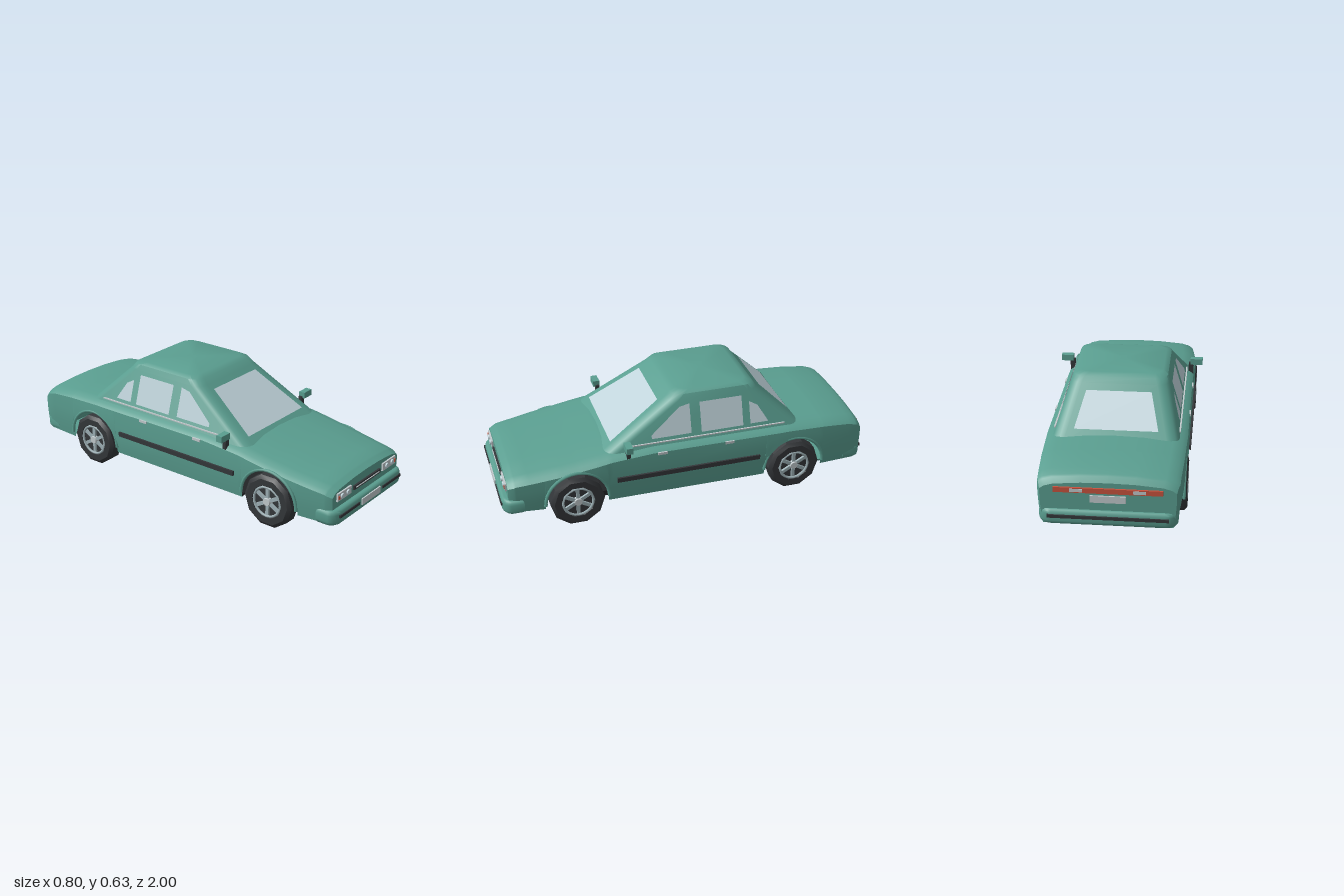
import * as THREE from 'three';
import { toCreasedNormals } from 'three/addons/utils/BufferGeometryUtils.js';

const mat = (name, color, side = THREE.FrontSide) => {
  const m = new THREE.MeshStandardMaterial({ color, side });
  m.name = name;
  return m;
};

// Piecewise linear lookup in [[key, value], ...] with rising keys
function lookup(table, k) {
  for (let i = 1; i < table.length; i++) {
    const [a, va] = table[i - 1], [b, vb] = table[i];
    if (k <= b) return va + (vb - va) * Math.max(0, (k - a) / (b - a));
  }
  return table[table.length - 1][1];
}

// Skin a list of equal-length rings of [x, y, z]
function loft(rings, closed, crease) {
  const n = rings[0].length, index = [];
  for (let i = 0; i < rings.length - 1; i++) {
    for (let j = 0; j < (closed ? n : n - 1); j++) {
      const a = i * n + j, b = i * n + (j + 1) % n;
      index.push(a, a + n, b, b, a + n, b + n);
    }
  }
  const g = new THREE.BufferGeometry();
  g.setAttribute('position', new THREE.Float32BufferAttribute(rings.flat(2), 3));
  g.setIndex(index);
  return toCreasedNormals(g, crease);
}

const AXLES = [0.61, -0.58], HUB = 0.143, ARCH = 0.165;
const TOP = [[-0.975, 0.335], [-0.955, 0.36], [-0.9, 0.378], [-0.75, 0.392], [-0.55, 0.4], [0.2, 0.4],
  [0.42, 0.385], [0.6, 0.357], [0.8, 0.328], [0.92, 0.312], [0.96, 0.296]];
const WIDTH = [[-0.975, 0.325], [-0.94, 0.34], [-0.75, 0.352], [-0.5, 0.36], [0, 0.357], [0.5, 0.357],
  [0.7, 0.35], [0.85, 0.335], [0.93, 0.325], [0.96, 0.31]];

// Half section of the lower body, from sill or arch edge up to the centre line
function bodySection(z) {
  let low = 0.11;
  for (const c of AXLES) {
    const d = Math.abs(z - c);
    if (d < ARCH) low = HUB + Math.sqrt(ARCH * ARCH - d * d);
  }
  const W = lookup(WIDTH, z), top = lookup(TOP, z), shoulder = top - 0.042;
  const half = [0, 0.35, 0.7, 1].map(t => {
    const y = low + (shoulder - low) * t;
    return [W * (1 - 1.8 * (y - 0.27) ** 2), y, z];
  });
  half.push([W * 0.93, top - 0.026, z], [W * 0.8, top - 0.014, z], [W * 0.4, top - 0.003, z], [0, top, z]);
  return half.concat(half.slice(0, -1).reverse().map(([x, y]) => [-x, y, z]));
}

// Rounded rectangle at height y
function cabinRing(y, front, rear, w, r) {
  const pts = [];
  [[w - r, front - r], [-w + r, front - r], [-w + r, rear + r], [w - r, rear + r]].forEach(([x, z], q) => {
    for (let i = 0; i <= 4; i++) {
      const a = (q + i / 4) * Math.PI / 2;
      pts.push([x + r * Math.cos(a), y, z + r * Math.sin(a)]);
    }
  });
  return pts;
}

// Planes of the cabin walls, slightly proud
const sideX = y => 0.319 - (y - 0.38) * 0.3;
const frontZ = y => 0.437 - (y - 0.38) * 1.571;
const rearZ = y => -0.627 + (y - 0.38) * 1.048;

// Flat convex pane from 3D corners
function pane(points) {
  const g = new THREE.BufferGeometry(), index = [];
  for (let i = 1; i < points.length - 1; i++) index.push(0, i, i + 1);
  g.setAttribute('position', new THREE.Float32BufferAttribute(points.flat(), 3));
  g.setIndex(index);
  g.computeVertexNormals();
  return g;
}

export function createModel() {
  const car = new THREE.Group();
  car.name = 'car';
  const paint = mat('green paint', 0x5a9e90, THREE.DoubleSide);
  const glass = mat('window glass', 0xbfd3da, THREE.DoubleSide);
  const dark = mat('black trim', 0x34373a);
  const under = mat('underside black', 0x222426);
  const chrome = mat('light metal', 0xc2cacd);
  const alloy = mat('wheel alloy', 0x9db0b5);
  const red = mat('red lens', 0xc9533e);

  const add = (name, geometry, material, parent = car) => {
    const m = new THREE.Mesh(geometry, material);
    m.name = name;
    parent.add(m);
    return m;
  };
  const box = (name, material, w, h, d, x, y, z) => {
    const m = add(name, new THREE.BoxGeometry(w, h, d), material);
    m.position.set(x, y, z);
    return m;
  };

  // Lower body with open wheel arches, closed by flat nose and tail panels
  const stations = [...TOP, ...WIDTH].map(([z]) => z);
  for (const c of AXLES) {
    for (let i = 0; i <= 14; i++) stations.push(c + ARCH * Math.cos(i / 14 * Math.PI));
    stations.push(c + ARCH + 0.001, c - ARCH - 0.001);
  }
  const zs = [...new Set(stations.map(z => +z.toFixed(4)))].sort((a, b) => a - b);
  add('lowerBody', loft(zs.map(bodySection), false, 0.7), paint);
  for (const [name, z] of [['nosePanel', 0.96], ['tailPanel', -0.975]]) {
    const s = bodySection(z).slice(0, 8);
    add(name, loft([s, s.map(([x, y]) => [-x, y, z])], false, 0.5), paint);
  }
  box('noseUnderside', paint, 0.6, 0.01, 0.2, 0, 0.115, 0.86);
  box('tailUnderside', paint, 0.62, 0.01, 0.26, 0, 0.115, -0.84);
  box('floorPan', under, 0.51, 0.03, 1.44, 0, 0.096, 0.015);
  box('sillFloor', under, 0.66, 0.012, 0.84, 0, 0.112, 0.015);

  // Cabin
  add('cabin', loft([
    cabinRing(0.37, 0.446, -0.63, 0.318, 0.06),
    cabinRing(0.59, 0.1, -0.4, 0.252, 0.06),
    cabinRing(0.618, 0.07, -0.38, 0.241, 0.06),
    cabinRing(0.631, 0.035, -0.345, 0.215, 0.06),
    cabinRing(0.636, -0.155, -0.155, 0, 0),
  ], true, 0.7), paint);

  // Windows
  add('windscreen', pane([[-0.24, 0.4], [0.24, 0.4], [0.18, 0.573], [-0.18, 0.573]]
    .map(([x, y]) => [x, y, frontZ(y)])), glass);
  add('rearWindow', pane([[0.21, 0.42], [-0.21, 0.42], [-0.165, 0.565], [0.165, 0.565]]
    .map(([x, y]) => [x, y, rearZ(y)])), glass);
  const sideWindows = {
    frontDoorWindow: [[0.2, 0.418], [-0.015, 0.418], [-0.015, 0.57], [0.04, 0.56], [0.2, 0.437]],
    rearDoorWindow: [[-0.07, 0.415], [-0.3, 0.415], [-0.3, 0.57], [-0.07, 0.57]],
    quarterWindow: [[-0.34, 0.418], [-0.44, 0.418], [-0.385, 0.51], [-0.34, 0.535]],
  };

  // Bumper: bowed plan with a bevelled edge, mirrored in z for the rear
  const bumperGeometry = () => {
    const s = new THREE.Shape();
    s.moveTo(-0.315, 0.9);
    s.lineTo(-0.315, 0.945);
    s.quadraticCurveTo(-0.305, 0.972, -0.27, 0.975);
    s.lineTo(0.27, 0.975);
    s.quadraticCurveTo(0.305, 0.972, 0.315, 0.945);
    s.lineTo(0.315, 0.9);
    const g = new THREE.ExtrudeGeometry(s, { depth: 0.035, bevelThickness: 0.022, bevelSize: 0.018, bevelSegments: 3, curveSegments: 5 });
    return toCreasedNormals(g.rotateX(Math.PI / 2), 0.7);
  };
  add('frontBumper', bumperGeometry(), paint).position.y = 0.167;
  const rearBumper = add('rearBumper', bumperGeometry().rotateY(Math.PI), paint);
  rearBumper.position.y = 0.167;

  // Nose and tail details
  box('grille', dark, 0.25, 0.022, 0.02, 0, 0.24, 0.96);
  box('grilleBar', chrome, 0.22, 0.004, 0.006, 0, 0.24, 0.971);
  box('frontPlate', chrome, 0.176, 0.035, 0.008, 0, 0.157, 0.994);
  box('rearPlate', chrome, 0.17, 0.036, 0.01, 0, 0.25, -0.977);
  box('rearBumperStrip', dark, 0.58, 0.016, 0.01, 0, 0.158, -0.995);
  box('tailLightBar', red, 0.52, 0.026, 0.012, 0, 0.295, -0.978);

  // Wheel: faceted tyre, recessed disc, rim and six spokes, outer face towards +y
  const tyre = new THREE.LatheGeometry([[0, -0.045], [0.12, -0.045], [0.144, -0.03], [0.144, 0.03], [0.125, 0.045],
    [0.09, 0.045], [0.085, 0.025], [0, 0.025]].map(([x, y]) => new THREE.Vector2(x, y)), 10);
  const makeWheel = () => {
    const w = new THREE.Group();
    w.name = 'wheel';
    add('tyre', toCreasedNormals(tyre, 0.4), dark, w);
    const rim = add('rim', new THREE.TorusGeometry(0.08, 0.007, 6, 20), alloy, w);
    rim.rotation.x = Math.PI / 2;
    rim.position.y = 0.04;
    add('hubCap', new THREE.CylinderGeometry(0.02, 0.026, 0.022, 10), chrome, w).position.y = 0.037;
    for (let i = 0; i < 6; i++) {
      const a = i / 6 * Math.PI * 2;
      const spoke = add('spoke', new THREE.BoxGeometry(0.062, 0.012, 0.018), alloy, w);
      spoke.position.set(0.048 * Math.cos(a), 0.034, -0.048 * Math.sin(a));
      spoke.rotation.y = a;
    }
    return w;
  };

  // Everything that is repeated on left and right
  for (const s of [1, -1]) {
    for (const [name, pts] of Object.entries(sideWindows)) {
      add(name, pane(pts.map(([z, y]) => [s * sideX(y), y, z])), glass);
    }
    for (const z of AXLES) {
      const wheel = makeWheel();
      wheel.rotation.z = -s * Math.PI / 2;
      wheel.position.set(s * 0.318, HUB, z);
      car.add(wheel);
      const lip = add('archLip', new THREE.TorusGeometry(0.168, 0.009, 6, 18, Math.PI), paint);
      lip.rotation.y = Math.PI / 2;
      lip.position.set(s * 0.35, HUB, z);
    }
    box('sideMoulding', dark, 0.02, 0.025, 0.78, s * 0.357, 0.237, 0.01);
    box('beltTrim', chrome, 0.008, 0.006, 0.84, s * 0.315, 0.397, -0.11);
    for (const z of [0.155, -0.21]) box('doorHandle', chrome, 0.014, 0.014, 0.05, s * 0.351, 0.353, z);

    box('mirrorStalk', dark, 0.028, 0.075, 0.02, s * 0.338, 0.38, 0.335);
    box('mirrorHead', paint, 0.068, 0.034, 0.035, s * 0.368, 0.424, 0.34);

    box('headlight', chrome, 0.125, 0.042, 0.016, s * 0.213, 0.246, 0.961);
    for (const x of [0.185, 0.238]) {
      const lamp = add('headlightLens', new THREE.CylinderGeometry(0.013, 0.015, 0.008, 10), glass);
      lamp.rotation.x = Math.PI / 2;
      lamp.position.set(s * x, 0.246, 0.972);
    }
    box('indicator', red, 0.012, 0.018, 0.006, s * 0.266, 0.245, 0.97);
    box('frontBumperStrip', dark, 0.18, 0.015, 0.012, s * 0.2, 0.159, 0.992);
    box('reverseLight', chrome, 0.06, 0.016, 0.006, s * 0.15, 0.295, -0.983);
  }
  return car;
}
